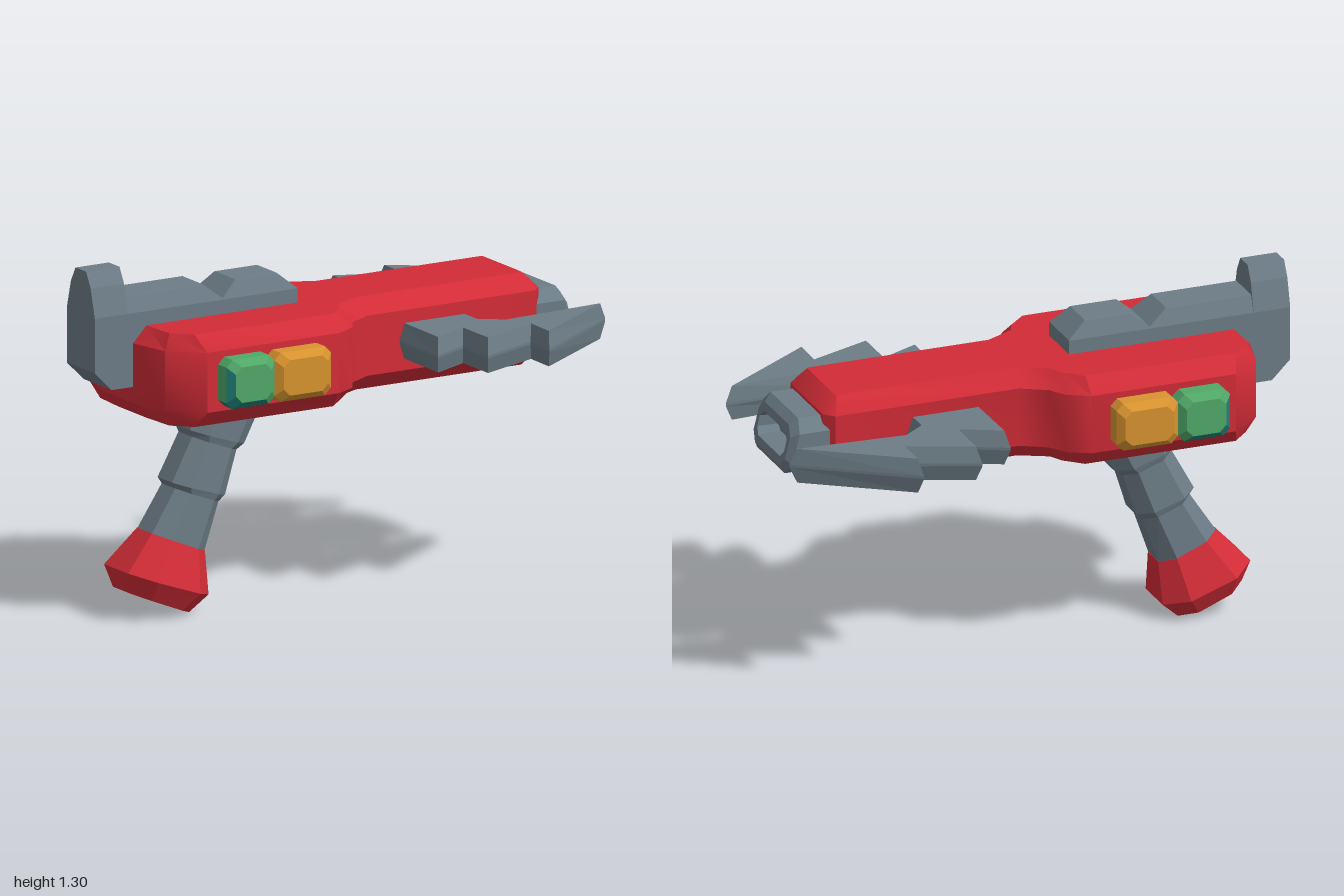
import * as THREE from 'three';
import { toCreasedNormals } from 'three/addons/utils/BufferGeometryUtils.js';

const mat = (name, color, flatShading = true) => {
  const m = new THREE.MeshStandardMaterial({ color, flatShading });
  m.name = name;
  return m;
};

// Octagon: half width, half height, corner cut
const oct = (w, h, c) => [
  [w, -h + c], [w, h - c], [w - c, h], [-w + c, h],
  [-w, h - c], [-w, -h + c], [-w + c, -h], [w - c, -h],
];

// Closed solid through rings of [x, y, z] points; u and v are the axes used to fill the end caps
function loft(rings, u, v) {
  const n = rings[0].length, tris = [];
  for (let i = 0; i < rings.length - 1; i++) {
    for (let j = 0; j < n; j++) {
      const k = (j + 1) % n;
      const a = rings[i][j], b = rings[i][k], c = rings[i + 1][k], d = rings[i + 1][j];
      tris.push([a, b, c], [a, c, d]);
    }
  }
  const cap = (ring, reverse) => {
    const flat = ring.map((p) => new THREE.Vector2(p[u], p[v]));
    const sign = THREE.ShapeUtils.area(flat) > 0;
    for (const f of THREE.ShapeUtils.triangulateShape(flat, [])) {
      const same = (THREE.ShapeUtils.area(f.map((q) => flat[q])) > 0) === sign;
      const t = f.map((q) => ring[q]);
      tris.push(same !== reverse ? t : t.reverse());
    }
  };
  cap(rings[0], true);
  cap(rings[rings.length - 1], false);
  // Turn every face outwards
  const V = (p) => new THREE.Vector3(...p);
  const volume = tris.reduce((s, [a, b, c]) => s + V(a).dot(V(b).cross(V(c))), 0);
  if (volume < 0) tris.forEach((t) => t.reverse());
  const geo = new THREE.BufferGeometry();
  geo.setAttribute('position', new THREE.Float32BufferAttribute(tris.flat(2), 3));
  geo.computeVertexNormals();
  return geo;
}

export function createModel() {
  const model = new THREE.Group();
  model.name = 'toyBlaster';
  const red = mat('red', 0xd22c37);
  const redSmooth = red.clone();
  redSmooth.flatShading = false;
  red.flatShading = false;
  const grey = mat('steelGrey', 0x6c7c86);
  const green = mat('green', 0x50a868);
  const teal = mat('teal', 0x1f8078);
  const orange = mat('orange', 0xd8932f);
  const add = (name, geo, material) => {
    const mesh = new THREE.Mesh(geo, material);
    mesh.name = name;
    model.add(mesh);
    return mesh;
  };

  // Body: mirrored plan outline, bevelled at top and bottom
  const outer = [[0.81, 0.155], [0.775, 0.192], [0.075, 0.192], [-0.018, 0.245], [-0.06, 0.31],
    [-0.14, 0.353], [-0.69, 0.353], [-0.805, 0.255], [-0.84, 0.11]];
  const inner = [[0.755, 0.13], [0.75, 0.137], [0.06, 0.137], [-0.045, 0.19], [-0.07, 0.24],
    [-0.135, 0.3], [-0.71, 0.3], [-0.775, 0.235], [-0.785, 0.1]];
  const plan = (half, y) => [
    ...half.map(([x, z]) => [x, y, z]),
    ...half.slice().reverse().map(([x, z]) => [x, y, -z]),
  ];
  const body = loft([plan(inner, 0.75), plan(outer, 0.81), plan(outer, 1.03), plan(inner, 1.088)], 0, 2);
  add('body', toCreasedNormals(body, 0.6), red);

  // Top rail and rear sight: sections along x of [x, bottom, top, isSight]
  const section = ([x, yb, yt, sight]) => {
    const w1 = sight ? 0.067 : 0.095 - (yt - 1.14) * 0.4;
    const side = [[0.095, yb], [0.095, Math.min(1.14, yt)], [w1, sight ? 1.245 : yt - 0.001], [sight ? 0.036 : w1 - 0.005, yt]];
    return [
      ...side.map(([z, y]) => [x, y, z]),
      ...side.slice().reverse().map(([z, y]) => [x, y, -z]),
    ];
  };
  const rail = [
    [-1, 0.94, 1.3, true], [-0.93, 0.87, 1.3, true], [-0.861, 0.87, 1.3, true], [-0.86, 0.87, 1.2],
    [-0.8, 0.87, 1.2], [-0.78, 1, 1.2], [-0.535, 1, 1.2], [-0.465, 1, 1.145], [-0.4, 1, 1.2],
    [-0.225, 1, 1.2], [-0.155, 1, 1.141],
  ].map(section);
  add('topRail', loft(rail, 1, 2), grey);

  // Grip and pommel: tilted octagons given by left and right edge points and half depth
  const tilted = ([lx, ly, rx, ry, d]) => oct(1, 1, 0.48).map(([a, b]) => [
    (lx + rx) / 2 + a * (rx - lx) / 2,
    (ly + ry) / 2 + a * (ry - ly) / 2,
    b * d,
  ]);
  const grip = [
    [-0.51, 0.84, -0.25, 0.78, 0.095], [-0.575, 0.666, -0.35, 0.59, 0.095],
    [-0.565, 0.64, -0.38, 0.57, 0.088], [-0.65, 0.484, -0.43, 0.412, 0.095],
    [-0.635, 0.46, -0.455, 0.39, 0.088], [-0.735, 0.307, -0.516, 0.217, 0.095],
  ].map(tilted);
  add('grip', loft(grip, 0, 2), grey);
  const pommel = [
    [-0.735, 0.31, -0.514, 0.218, 0.097], [-0.853, 0.185, -0.518, 0.065, 0.157],
    [-0.83, 0.104, -0.585, 0.004, 0.112],
  ].map(tilted);
  add('pommel', toCreasedNormals(loft(pommel, 0, 2), 0.1), red);

  // Muzzle: hollow octagon with a slightly slanted mouth
  const mouth = ([x, w, h, c, slant]) => oct(w, h, c).map(([z, y]) => [x - slant * y, 0.917 + y, z]);
  const muzzle = [
    [0.74, 0.176, 0.102, 0.045, 0], [0.92, 0.176, 0.102, 0.045, 0.25], [0.942, 0.15, 0.075, 0.035, 0.25],
    [0.942, 0.128, 0.045, 0.025, 0.25], [0.87, 0.118, 0.038, 0.02, 0],
  ].map(mouth);
  add('muzzle', loft(muzzle, 1, 2), grey);

  // Side fins and buttons, on both sides
  const finPlan = [[0.21, 0.1], [0.21, 0.452], [0.357, 0.382], [0.357, 0.55], [0.593, 0.456],
    [0.593, 0.583], [0.997, 0.304], [0.57, 0.318], [0.5, 0.265], [0.5, 0.1]];
  for (const s of [1, -1]) {
    const side = s > 0 ? 'front' : 'back';
    const fin = new THREE.ExtrudeGeometry(
      new THREE.Shape(finPlan.map(([x, z]) => new THREE.Vector2(x, z * s))),
      { depth: 0.01, bevelThickness: 0.06, bevelSize: 0.02, bevelOffset: -0.02, bevelSegments: 1 },
    );
    fin.rotateX(Math.PI / 2).translate(0, 0.923, 0);
    add(side + 'Fin', fin, grey);

    const button = (cx, w) => loft(
      [[0.3, 0], [0.41, 0], [0.435, 0.025]].map(([z, inset]) =>
        oct(w - inset, 0.09 - inset, 0.025).map(([x, y]) => [cx + x, 0.917 + y, z * s])), 0, 1);
    add(side + 'OrangeButton', button(-0.328, 0.117), orange);

    // Green button with its lower rear edges in teal
    const geo = button(-0.545, 0.1);
    const total = geo.attributes.position.count;
    for (let q = 0; q < 16; q++) {
      const j = q % 8;
      geo.addGroup(q * 6, 6, j === 5 || j === 6 || (j === 4 && q > 8) ? 1 : 0);
    }
    geo.addGroup(96, total - 96, 0);
    add(side + 'GreenButton', geo, [green, teal]);
  }
  return model;
}
